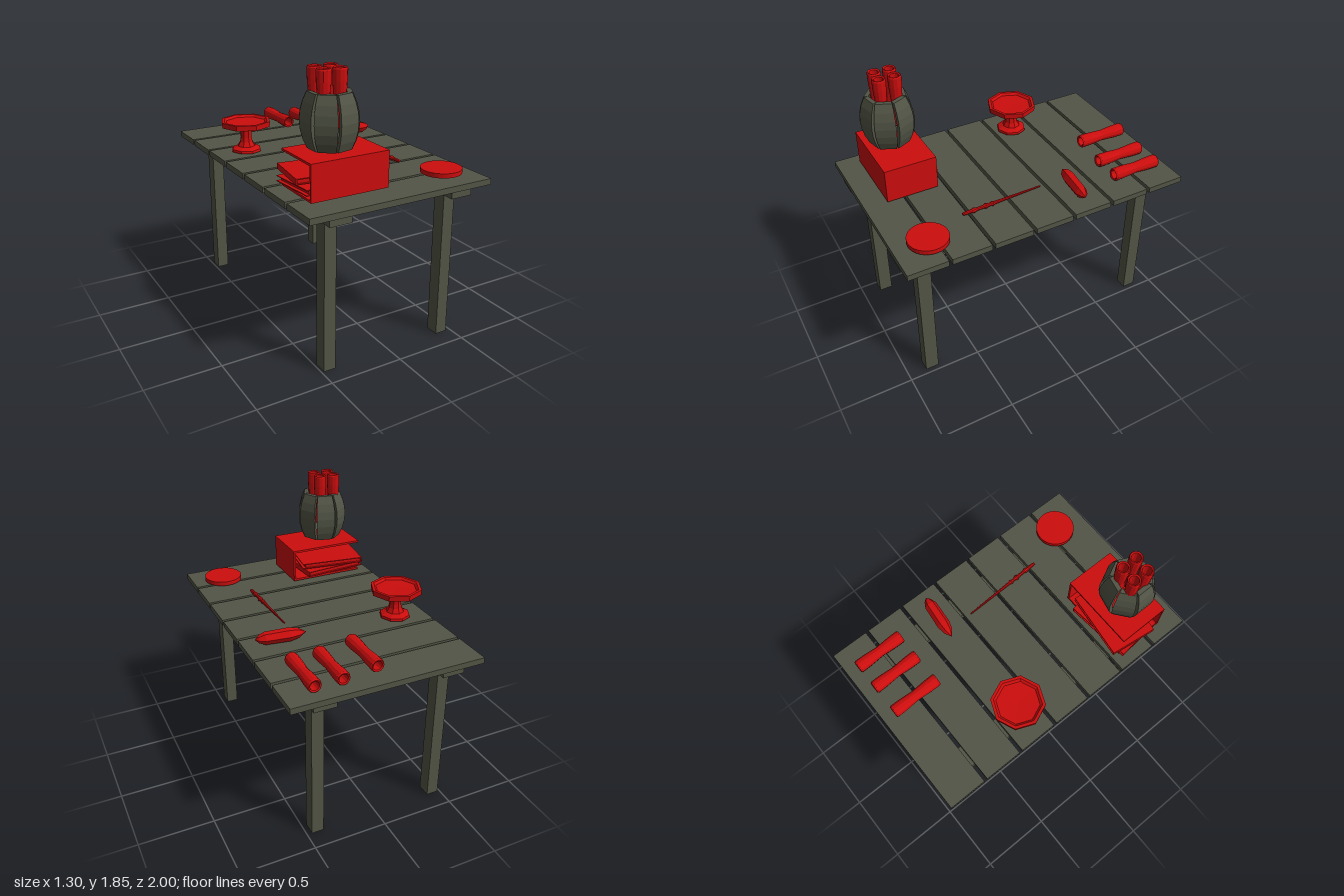
import * as THREE from 'three';

const wood = new THREE.MeshStandardMaterial({ color: 0x525546, flatShading: true });
const red = new THREE.MeshStandardMaterial({ color: 0xcc0d0d, flatShading: true });

export function createModel() {
  const model = new THREE.Group();

  function add(name, geometry, material, x = 0, y = 0, z = 0, parent = model) {
    const mesh = new THREE.Mesh(geometry, material);
    mesh.name = name;
    mesh.position.set(x, y, z);
    parent.add(mesh);
    return mesh;
  }
  // Box given by its minimum and maximum corners
  function block(name, material, a, b, parent = model) {
    const geometry = new THREE.BoxGeometry(b[0] - a[0], b[1] - a[1], b[2] - a[2]);
    return add(name, geometry, material, (a[0] + b[0]) / 2, (a[1] + b[1]) / 2, (a[2] + b[2]) / 2, parent);
  }
  function group(name) {
    const g = new THREE.Group();
    g.name = name;
    model.add(g);
    return g;
  }
  // Lathe from [radius, height] pairs
  const lathe = (points, sides) =>
    new THREE.LatheGeometry(points.map(([r, y]) => new THREE.Vector2(r, y)), sides);

  // Table: seven planks, two rails, four legs
  const table = group('table');
  for (let i = 0; i < 7; i++) {
    const z = -1 + i * 0.289;
    block('plank', wood, [-0.65, 1.055, z], [0.65, 1.095, z + 0.266], table);
  }
  for (const x of [-0.443, 0.425]) {
    block('rail', wood, [x - 0.075, 1.01, -0.98], [x + 0.075, 1.055, 0.99], table);
    for (const z of [-0.83, 0.83])
      block('leg', wood, [x - 0.041, 0, z - 0.046], [x + 0.041, 1.01, z + 0.046], table);
  }

  // Open-sided case: floor, top and two walls
  const bookcase = group('case');
  block('caseFloor', red, [-0.555, 1.113, 0.495], [-0.025, 1.128, 0.85], bookcase);
  block('caseTop', red, [-0.555, 1.332, 0.495], [-0.025, 1.347, 0.85], bookcase);
  block('caseFront', red, [-0.555, 1.128, 0.835], [-0.025, 1.332, 0.85], bookcase);
  block('caseSide', red, [-0.04, 1.128, 0.495], [-0.025, 1.332, 0.835], bookcase);

  // Two books lying askew in the case: covers, spine and inset pages
  function book(x, y, z, angle, spineSide) {
    const g = group('book');
    for (const s of [-1, 1]) add('cover', new THREE.BoxGeometry(0.46, 0.006, 0.32), red, 0, s * 0.016, 0, g);
    add('spine', new THREE.BoxGeometry(0.008, 0.038, 0.32), red, spineSide * 0.226, 0, 0, g);
    add('pages', new THREE.BoxGeometry(0.43, 0.026, 0.295), red, spineSide * 0.008, 0, 0, g);
    g.position.set(x, y, z);
    g.rotation.y = angle;
  }
  book(-0.345, 1.216, 0.618, -0.13, -1);
  book(-0.345, 1.162, 0.63, 0.09, 1);

  // Barrel: seven separate bowed staves
  function staveGeometry() {
    const g = new THREE.BoxGeometry(0.03, 0.335, 1, 1, 6, 1);
    const p = g.attributes.position;
    for (let i = 0; i < p.count; i++) {
      const t = p.getY(i) / 0.1675;
      const bulge = 1 - t * t;
      const inner = p.getX(i) < 0;
      const width = (0.108 + 0.03 * bulge) * (inner ? 0.84 : 1);
      p.setX(i, 0.125 + 0.041 * bulge - (inner ? 0.03 : 0));
      p.setZ(i, p.getZ(i) * width);
    }
    g.computeVertexNormals();
    return g;
  }
  const barrel = group('barrel');
  barrel.position.set(-0.335, 1.5375, 0.685);
  const stave = staveGeometry();
  for (let i = 0; i < 7; i++)
    add('stave', stave, wood, 0, 0, 0, barrel).rotation.y = Math.PI + (i * 2 * Math.PI) / 7;

  // Hollow scrolls with a narrow waist
  const scroll = lathe([
    [0.03, -0.17], [0.04, -0.175], [0.045, -0.165], [0.044, -0.1], [0.037, 0], [0.044, 0.1],
    [0.045, 0.165], [0.04, 0.175], [0.03, 0.17], [0.026, 0], [0.03, -0.17],
  ], 12);
  for (const [x, z] of [[-0.4, 0.62], [-0.297, 0.626], [-0.4, 0.722], [-0.297, 0.73]])
    add('standingScroll', scroll, red, x, 1.67, z);
  for (const [x, y] of [[0.055, 1.172], [0.277, 1.142], [0.46, 1.142]])
    add('lyingScroll', scroll, red, x, y, -0.743).rotation.x = Math.PI / 2;

  // Octagonal dish on a flared foot
  add('pedestalDish', lathe([
    [0, 1.105], [0.105, 1.105], [0.102, 1.122], [0.062, 1.14], [0.045, 1.17], [0.04, 1.2],
    [0.04, 1.262], [0.055, 1.28], [0.173, 1.284], [0.175, 1.32], [0.155, 1.32], [0.14, 1.305], [0, 1.3],
  ], 8), red, -0.43, 0, -0.282);

  // Round flat disc
  add('disc', new THREE.CylinderGeometry(0.133, 0.133, 0.03, 32), red, 0.435, 1.125, 0.772);

  // Faceted crystal lying on its side
  const crystal = lathe([[0, -0.17], [0.032, -0.12], [0.045, -0.06], [0.042, 0.105], [0.025, 0.145], [0, 0.17]], 6);
  crystal.rotateZ(-Math.PI / 2);
  add('crystal', crystal, red, 0.408, 1.142, -0.287).rotation.y = -0.1;

  // Slender wand, handle towards the front
  const wand = lathe([
    [0, -0.293], [0.005, -0.285], [0.011, 0.06], [0.017, 0.075], [0.011, 0.09], [0.013, 0.11], [0.019, 0.125],
    [0.012, 0.14], [0.011, 0.19], [0.018, 0.21], [0.012, 0.23], [0.012, 0.27], [0.009, 0.29], [0, 0.293],
  ], 8);
  wand.rotateX(Math.PI / 2);
  add('wand', wand, red, 0.31, 1.115, 0.193).rotation.y = 0.035;

  return model;
}
